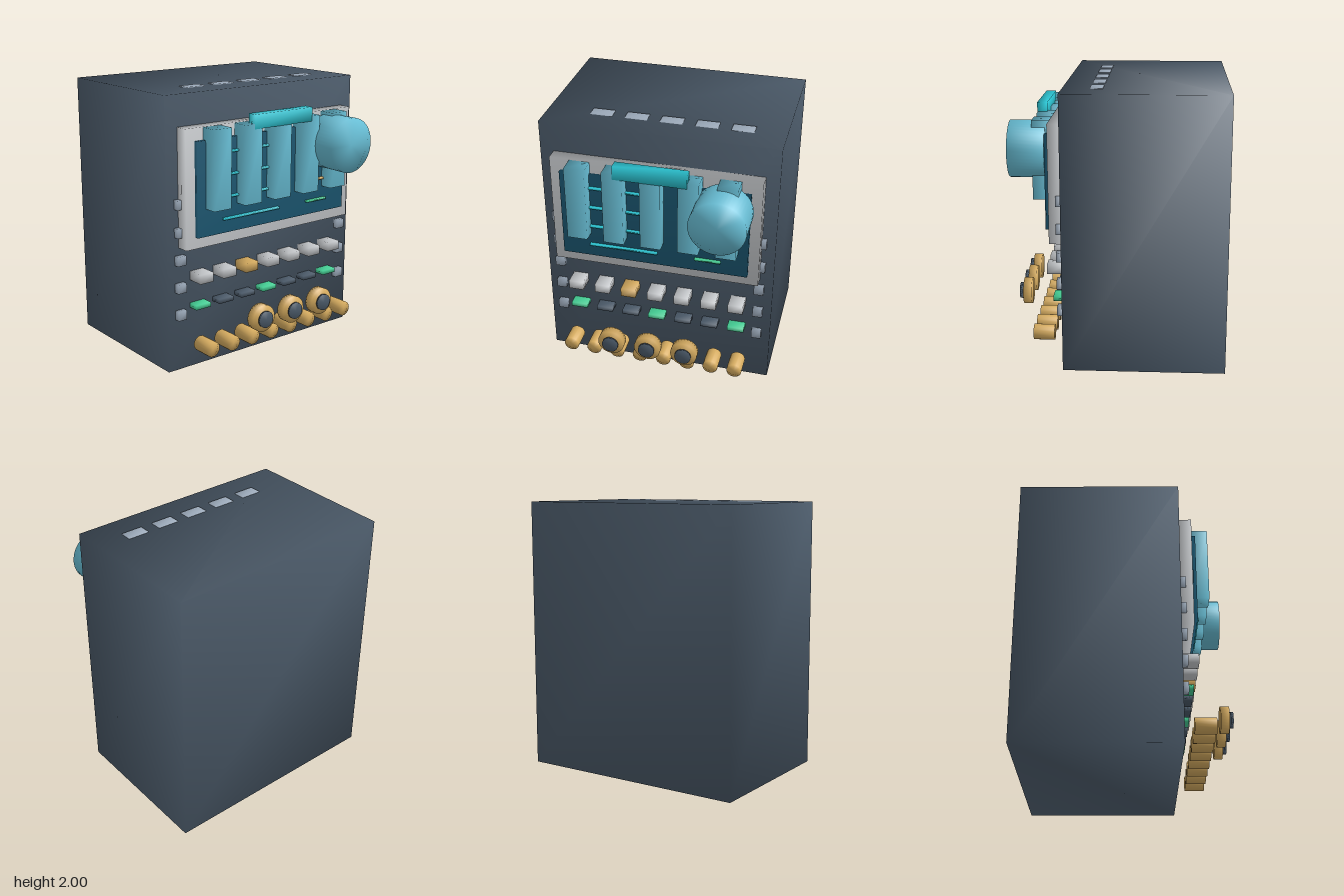
import * as THREE from 'three';
import { mergeVertices } from 'three/addons/utils/BufferGeometryUtils.js';

const mat = (name, color) => {
  const m = new THREE.MeshStandardMaterial({ color });
  m.name = name;
  return m;
};

// weld the corners so that normals run smoothly over every edge
function weld(g) {
  g.deleteAttribute('normal');
  g.deleteAttribute('uv');
  const w = mergeVertices(g, 1e-4);
  w.computeVertexNormals();
  return w;
}

export function createModel() {
  const slate = mat('slate', 0x4b5a69);
  const silver = mat('silver', 0xc6c9cc);
  const steel = mat('steel', 0x9aa8b8);
  const glass = mat('dark teal glass', 0x1b5670);
  const blue = mat('pale blue', 0x69bfd6);
  const cyan = mat('cyan', 0x2bc4d2);
  const amber = mat('amber', 0xd6ac60);
  const green = mat('green', 0x45cf95);

  const root = new THREE.Group();
  root.name = 'controlCabinet';

  // box given by its extents on each axis
  function box(name, m, [x0, x1], [y0, y1], [z0, z1]) {
    const mesh = new THREE.Mesh(weld(new THREE.BoxGeometry(x1 - x0, y1 - y0, z1 - z0)), m);
    mesh.position.set((x0 + x1) / 2, (y0 + y1) / 2, (z0 + z1) / 2);
    mesh.name = name;
    root.add(mesh);
  }

  // round part with its axis along z
  function disc(name, m, x, y, r, z0, z1, sides) {
    const g = new THREE.CylinderGeometry(r, r, z1 - z0, sides).rotateX(Math.PI / 2);
    const mesh = new THREE.Mesh(weld(g), m);
    mesh.position.set(x, y, (z0 + z1) / 2);
    mesh.name = name;
    root.add(mesh);
  }

  const span = (c, size) => [c - size / 2, c + size / 2];

  // cabinet, display frame and screen
  box('cabinet', slate, [-0.867, 0.867], [0, 1.994], [-0.772, 0.387]);
  box('displayFrame', silver, [-0.767, 0.767], [0.916, 1.77], [0.38, 0.481]);
  box('screen', glass, [-0.69, 0.69], [1.0, 1.68], [0.47, 0.512]);

  // upright tubes, header bar and large dial
  for (let i = -2; i <= 2; i++) {
    box('displayColumn', blue, span(i * 0.272, 0.149), [1.198, 1.766], [0.48, 0.607]);
  }
  box('headerBar', cyan, [-0.265, 0.265], [1.73, 1.833], [0.538, 0.612]);
  disc('largeDial', blue, 0.51, 1.545, 0.204, 0.512, 0.772, 48);

  // readout lines on the screen
  for (const y of [1.583, 1.423, 1.264, 1.105]) {
    box('readoutLine', cyan, [-0.477, 0.03], span(y, 0.015), [0.505, 0.534]);
  }
  box('warningLine', amber, [0.305, 0.495], span(1.264, 0.015), [0.505, 0.534]);
  box('statusLine', green, [0.305, 0.495], span(1.105, 0.015), [0.505, 0.534]);

  // button row with indicator lamps below
  for (let i = 0; i < 7; i++) {
    const x = (i - 3) * 0.205;
    box('button', i === 2 ? amber : silver, span(x, 0.113), span(0.693, 0.068), [0.38, 0.513]);
    box('indicatorLamp', i % 3 === 0 ? green : slate, span(x, 0.126), span(0.472, 0.034), [0.38, 0.47]);
  }

  // three knobs with dark caps
  for (const x of [-0.28, 0, 0.28]) {
    disc('knob', amber, x, 0.38, 0.1, 0.676, 0.739, 28);
    disc('knobCap', slate, x, 0.38, 0.061, 0.75, 0.77, 24);
  }

  // bottom row of pegs
  for (let i = 0; i < 8; i++) {
    disc('peg', amber, (i - 3.5) * 0.184, 0.197, 0.057, 0.465, 0.618, 20);
  }

  // side bolts
  for (const side of [-1, 1]) {
    for (let i = 0; i < 5; i++) {
      box('bolt', steel, span(side * 0.767, 0.071), span(0.422 + i * 0.203, 0.068), [0.38, 0.428]);
    }
  }

  // vents on the roof
  for (let i = 0; i < 5; i++) {
    box('roofVent', steel, span(-0.465 + i * 0.256, 0.162), [1.975, 2.0], [0.104, 0.194]);
  }

  return root;
}
